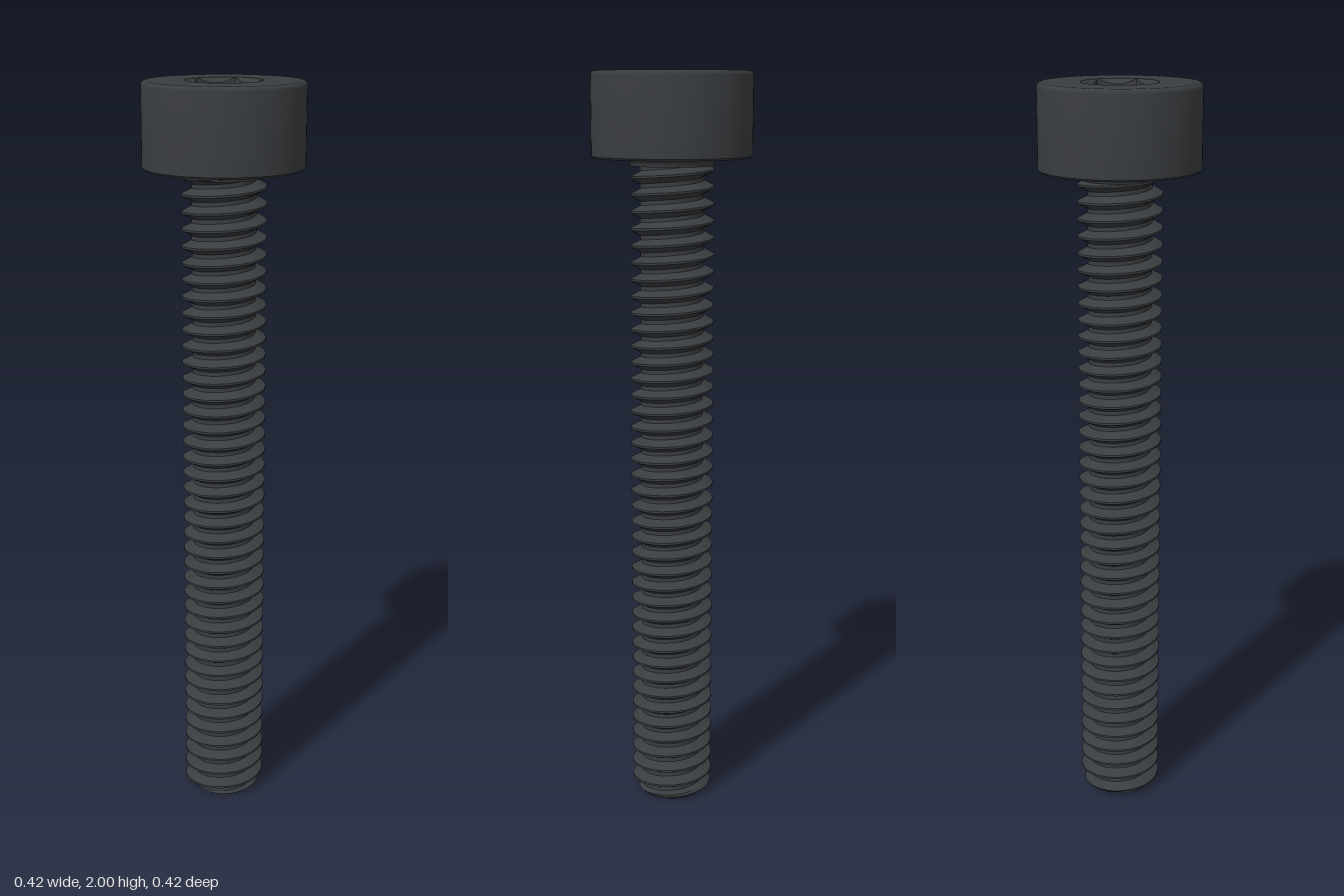
import * as THREE from 'three';
import { toCreasedNormals } from 'three/addons/utils/BufferGeometryUtils.js';

const SEG = 72;
const TOP = 2, HEAD_Y = 1.78, HEAD_R = 0.211;
const MAJOR = 0.111, MINOR = 0.084, PITCH = 2 / 45;
const HEX_R = 0.1, SOCKET_DEPTH = 0.11;

const material = new THREE.MeshStandardMaterial({ color: 0x3a3d40 });

// Skin through rings; each ring is a function angle -> [radius, height]
function skin(rings, crease) {
  const pos = [], index = [];
  for (const ring of rings) {
    for (let i = 0; i <= SEG; i++) {
      const a = (i / SEG) * Math.PI * 2;
      const [r, y] = ring(a);
      pos.push(r * Math.cos(a), y, -r * Math.sin(a));
    }
  }
  const w = SEG + 1;
  const same = (p, q) => [0, 1, 2].every((k) => Math.abs(pos[p * 3 + k] - pos[q * 3 + k]) < 1e-7);
  const tri = (p, q, s) => {
    if (!same(p, q) && !same(q, s) && !same(p, s)) index.push(p, q, s);
  };
  for (let j = 0; j < rings.length - 1; j++) {
    for (let i = 0; i < SEG; i++) {
      const a = j * w + i, b = a + 1, c = b + w, d = a + w;
      tri(a, b, c);
      tri(a, c, d);
    }
  }
  const g = new THREE.BufferGeometry();
  g.setAttribute('position', new THREE.Float32BufferAttribute(pos, 3));
  g.setIndex(index);
  return toCreasedNormals(g, crease);
}

const circle = (r, y) => () => [r, y];

function part(name, geometry) {
  const mesh = new THREE.Mesh(geometry, material);
  mesh.name = name;
  return mesh;
}

// Cap head: small edge roundings, flat top with a round opening
function headShell() {
  const rings = [circle(0.1, HEAD_Y), circle(HEAD_R - 0.005, HEAD_Y), circle(HEAD_R, HEAD_Y + 0.005)];
  const f = 0.011;
  for (let k = 0; k <= 5; k++) {
    const t = (k / 5) * Math.PI / 2;
    rings.push(circle(HEAD_R - f + f * Math.cos(t), TOP - f + f * Math.sin(t)));
  }
  rings.push(circle(HEX_R, TOP));
  return skin(rings, 0.5);
}

// Hex socket: conical lead-in cut into the six walls, then a flat floor
function hexSocket() {
  const hexRadius = (a) => {
    const step = Math.PI / 3;
    return HEX_R * Math.cos(step / 2) / Math.cos((a % step) - step / 2);
  };
  return skin([
    circle(HEX_R, TOP),
    (a) => [hexRadius(a), TOP - (HEX_R - hexRadius(a))],
    (a) => [hexRadius(a), TOP - SOCKET_DEPTH],
    circle(0, TOP - SOCKET_DEPTH),
  ], 0.5);
}

// Right-hand thread: flat crests and roots, trimmed at both ends, chamfered tip
function threadedShank() {
  const phase0 = 0.004;
  const radiusAt = (a, y) => {
    const u = (y - phase0) / PITCH - a / (Math.PI * 2);
    const d = Math.abs(u - Math.round(u)); // 0 at crest, 0.5 at root
    const t = THREE.MathUtils.clamp((d - 0.06) / 0.32, 0, 1);
    return Math.min(MAJOR + (MINOR - MAJOR) * t, 0.088 + y);
  };
  const stops = [-0.38, -0.22, -0.06, 0.06, 0.22, 0.38];
  const rings = [circle(0, 0)];
  const turns = Math.ceil(HEAD_Y / PITCH) + 1;
  for (let n = -2; n <= turns; n++) {
    for (const s of stops) {
      rings.push((a) => {
        const y = THREE.MathUtils.clamp(phase0 + (n + s + a / (Math.PI * 2)) * PITCH, 0, HEAD_Y);
        return [radiusAt(a, y), y];
      });
    }
  }
  return skin(rings, 0.5);
}

// Concave fillet where the shank meets the underside of the head
function neckFillet() {
  const f = 0.02, rings = [circle(MINOR, HEAD_Y - f)];
  for (let k = 0; k <= 5; k++) {
    const t = (k / 5) * Math.PI / 2;
    rings.push(circle(MAJOR - 0.002 + f * (1 - Math.cos(t)), HEAD_Y - f + f * Math.sin(t)));
  }
  return skin(rings, 0.5);
}

export function createModel() {
  const screw = new THREE.Group();
  screw.name = 'socketHeadScrew';
  const head = new THREE.Group();
  head.name = 'head';
  head.add(part('headShell', headShell()), part('hexSocket', hexSocket()));
  screw.add(head, part('neckFillet', neckFillet()), part('threadedShank', threadedShank()));
  return screw;
}
